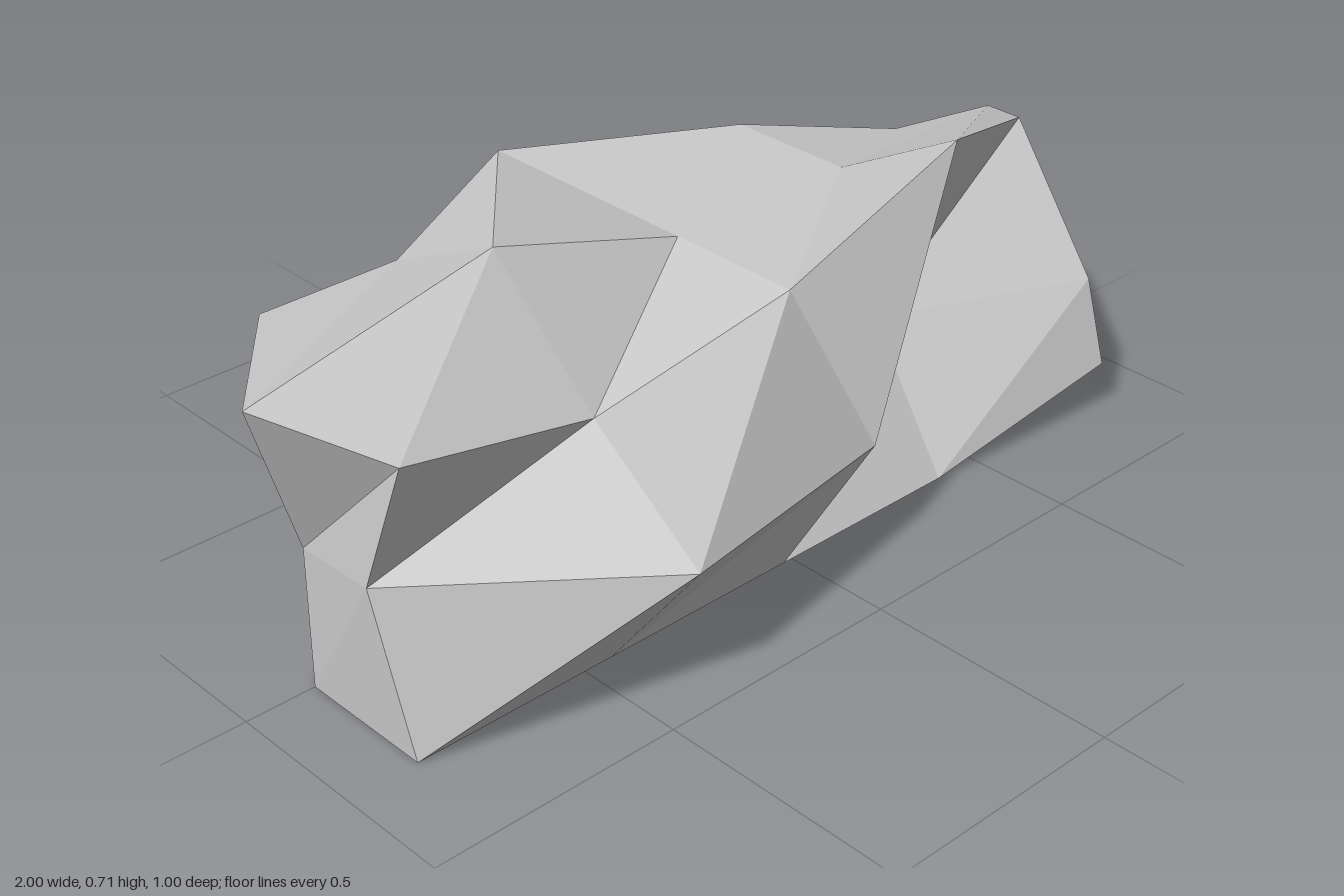
import * as THREE from 'three';

// Lattice levels of the undisturbed block
const XS = [-0.86, -0.44, -0.02, 0.4, 0.82];
const YS = [0, 0.28, 0.56];
const ZS = [-0.27, 0, 0.28];

// Knocked-out or chipped-in lattice points: 'column row depth' -> position
const MOVED = {
  // right-hand end
  '4 1 1': [1.0, 0.28, 0],
  '4 0 2': [0.82, 0.11, 0.33],
  '4 0 0': [0.8, 0.095, -0.17],
  '4 2 2': [0.82, 0.56, 0.08],
  '4 2 0': [0.73, 0.485, -0.16],
  // peak and waist
  '3 2 2': [0.4, 0.71, 0.28],
  '3 1 2': [0.4, 0.28, 0.1],
  '3 1 0': [0.4, 0.28, -0.12],
  // middle bulges
  '2 2 0': [-0.02, 0.56, -0.5],
  '2 1 0': [-0.01, 0.28, -0.46],
  '2 1 2': [0.08, 0.26, 0.4],
  '2 0 1': [-0.02, 0.1, 0],
  '1 1 2': [-0.44, 0.28, 0.5],
  '1 2 2': [-0.46, 0.48, 0.27],
  '1 2 1': [-0.44, 0.685, 0],
  '1 0 1': [-0.44, 0.06, 0],
  // left-hand end
  '0 2 1': [-1.0, 0.63, 0.08],
  '0 1 2': [-0.88, 0.31, 0.2],
  '0 2 0': [-0.73, 0.56, -0.27],
  '0 1 0': [-0.72, 0.31, -0.26],
  '0 0 0': [-0.7, 0.12, -0.22],
};

export function createModel() {
  // Block whose integer coordinates serve as lattice indices
  const box = new THREE.BoxGeometry(4, 2, 2, 4, 2, 2).translate(2, 1, 1);
  const pos = box.attributes.position;
  for (let n = 0; n < pos.count; n++) {
    const i = Math.round(pos.getX(n));
    const j = Math.round(pos.getY(n));
    const k = Math.round(pos.getZ(n));
    const p = MOVED[`${i} ${j} ${k}`] ?? [XS[i], YS[j], ZS[k]];
    pos.setXYZ(n, ...p);
  }
  const geometry = box.toNonIndexed();
  geometry.computeVertexNormals();

  const rock = new THREE.Mesh(
    geometry,
    new THREE.MeshStandardMaterial({ color: 0xcccccc, flatShading: true })
  );
  rock.name = 'rock';

  const group = new THREE.Group();
  group.name = 'boulder';
  group.add(rock);
  return group;
}
